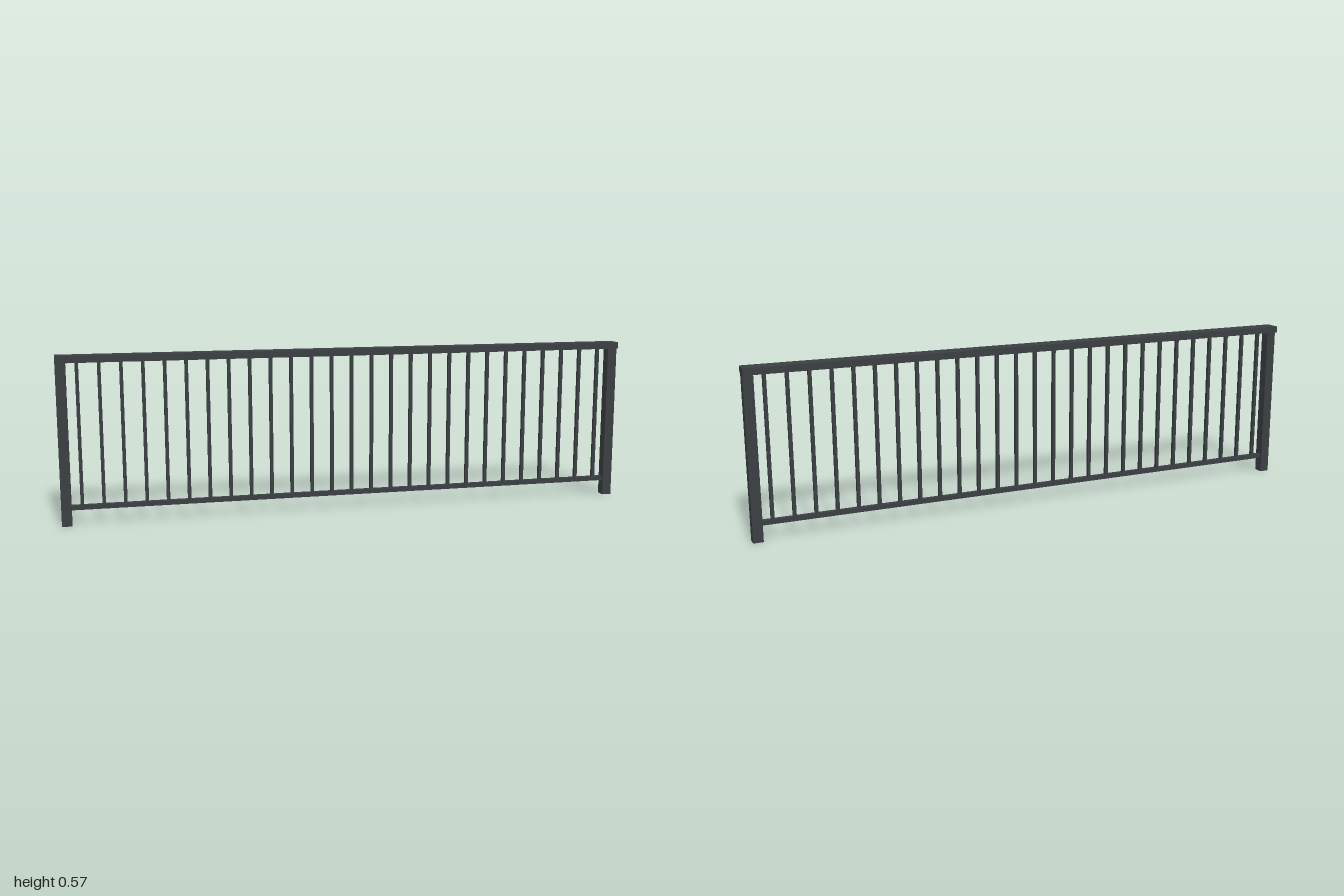
import * as THREE from 'three';

export function createModel() {
  const railing = new THREE.Group();
  railing.name = 'railing';
  const anthracite = new THREE.MeshStandardMaterial({ color: 0x3b3f43 });
  anthracite.name = 'anthracite metal';

  // Box standing on height y
  function bar(name, width, height, depth, x, y) {
    const mesh = new THREE.Mesh(new THREE.BoxGeometry(width, height, depth), anthracite);
    mesh.name = name;
    mesh.position.set(x, y + height / 2, 0);
    railing.add(mesh);
  }

  const post = 0.034;
  const railBottom = 0.55;
  const lowerRailY = 0.053;
  const lowerRailSize = 0.016;

  // Handrail and lower rail
  bar('handrail', 2, 0.023, 0.057, 0, railBottom);
  bar('lowerRail', 2 - 2 * post, lowerRailSize, lowerRailSize, 0, lowerRailY);

  // End posts
  bar('leftPost', post, railBottom, post, 1 - post / 2, 0);
  bar('rightPost', post, railBottom, post, -1 + post / 2, 0);

  // Evenly spaced balusters between the rails
  const count = 27;
  const spacing = 0.0716;
  const foot = lowerRailY + lowerRailSize;
  for (let i = 0; i < count; i++) {
    bar('baluster' + (i + 1), 0.0115, railBottom - foot, 0.0115, (i - (count - 1) / 2) * spacing, foot);
  }
  return railing;
}
